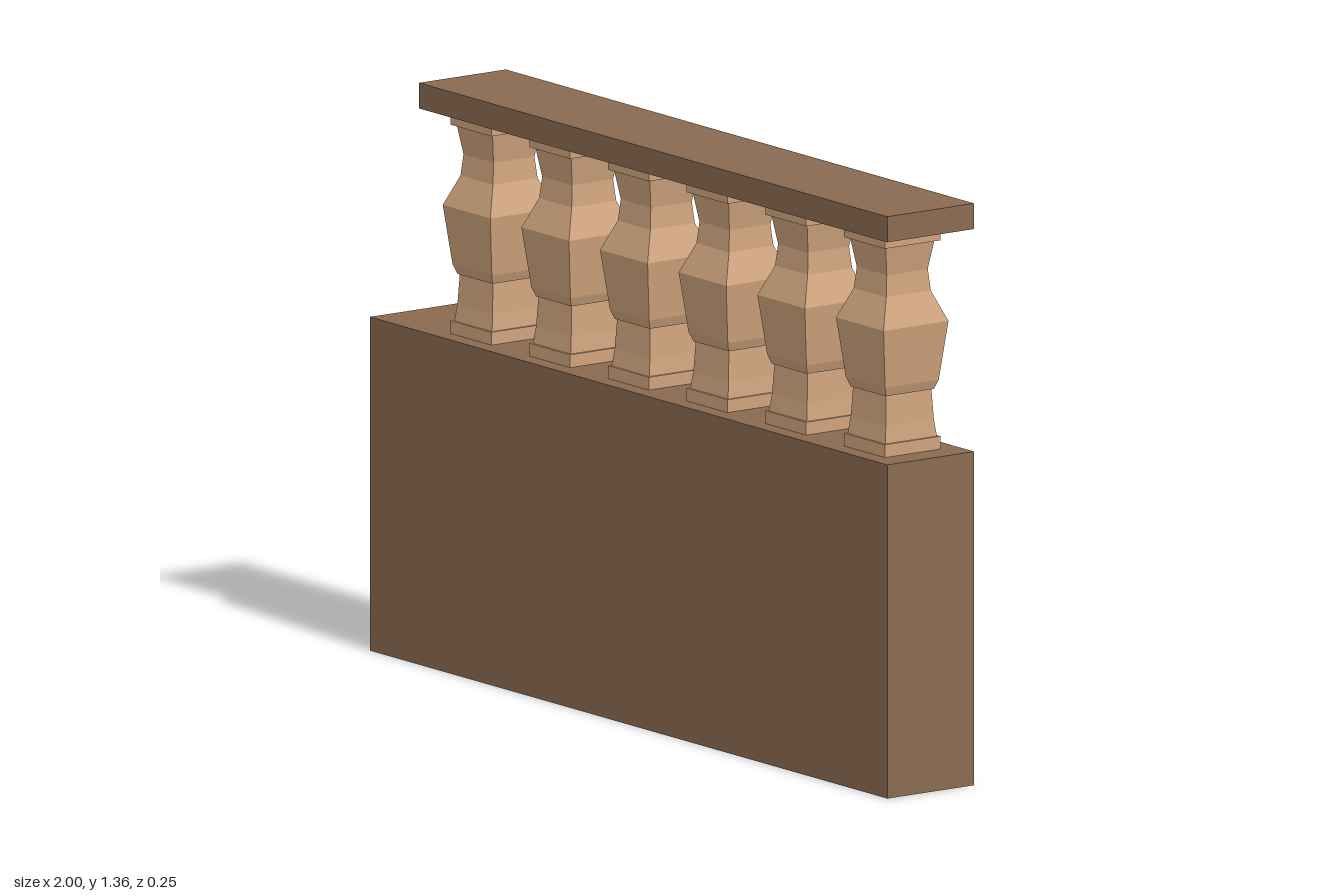
import * as THREE from 'three';

const stone = new THREE.MeshStandardMaterial({ color: 0x8a6a50, flatShading: true, side: THREE.DoubleSide });
const paleStone = new THREE.MeshStandardMaterial({ color: 0xcfa37d, flatShading: true, side: THREE.DoubleSide });

// Box spanning x0..x1 and y0..y1 with one face left open
// (face order: +x, -x, +y, -y, +z, -z)
function openBox(name, x0, x1, y0, y1, depth, openFace) {
  const geometry = new THREE.BoxGeometry(x1 - x0, y1 - y0, depth);
  const index = Array.from(geometry.index.array);
  index.splice(openFace * 6, 6);
  geometry.setIndex(index);
  geometry.clearGroups();
  const mesh = new THREE.Mesh(geometry, stone);
  mesh.name = name;
  mesh.position.set((x0 + x1) / 2, (y0 + y1) / 2, 0);
  return mesh;
}

// Square baluster: half-width and height pairs, turned with four sides
function balusterGeometry() {
  const profile = [
    [0.079, 0.78], [0.079, 0.81], [0.073, 0.81], [0.068, 0.85], [0.064, 0.92],
    [0.068, 0.92], [0.076, 0.942], [0.092, 1.08], [0.063, 1.15], [0.058, 1.2],
    [0.069, 1.268], [0.079, 1.268], [0.079, 1.3],
  ];
  const points = profile.map(([w, y]) => new THREE.Vector2(w * Math.SQRT2, y));
  return new THREE.LatheGeometry(points, 4, Math.PI / 4);
}

export function createModel() {
  const model = new THREE.Group();
  model.name = 'balustrade';

  // Solid wall, open underneath, and handrail, open at its far end
  model.add(openBox('baseWall', -1, 1, 0, 0.78, 0.246, 3));
  model.add(openBox('handrail', -0.81, 1, 1.3, 1.36, 0.246, 1));

  // Row of six evenly spaced balusters
  const geometry = balusterGeometry();
  for (let i = 0; i < 6; i++) {
    const baluster = new THREE.Mesh(geometry, paleStone);
    baluster.name = `baluster${i + 1}`;
    baluster.position.set(-0.666 + i * 0.304, 0, 0.002);
    model.add(baluster);
  }
  return model;
}
